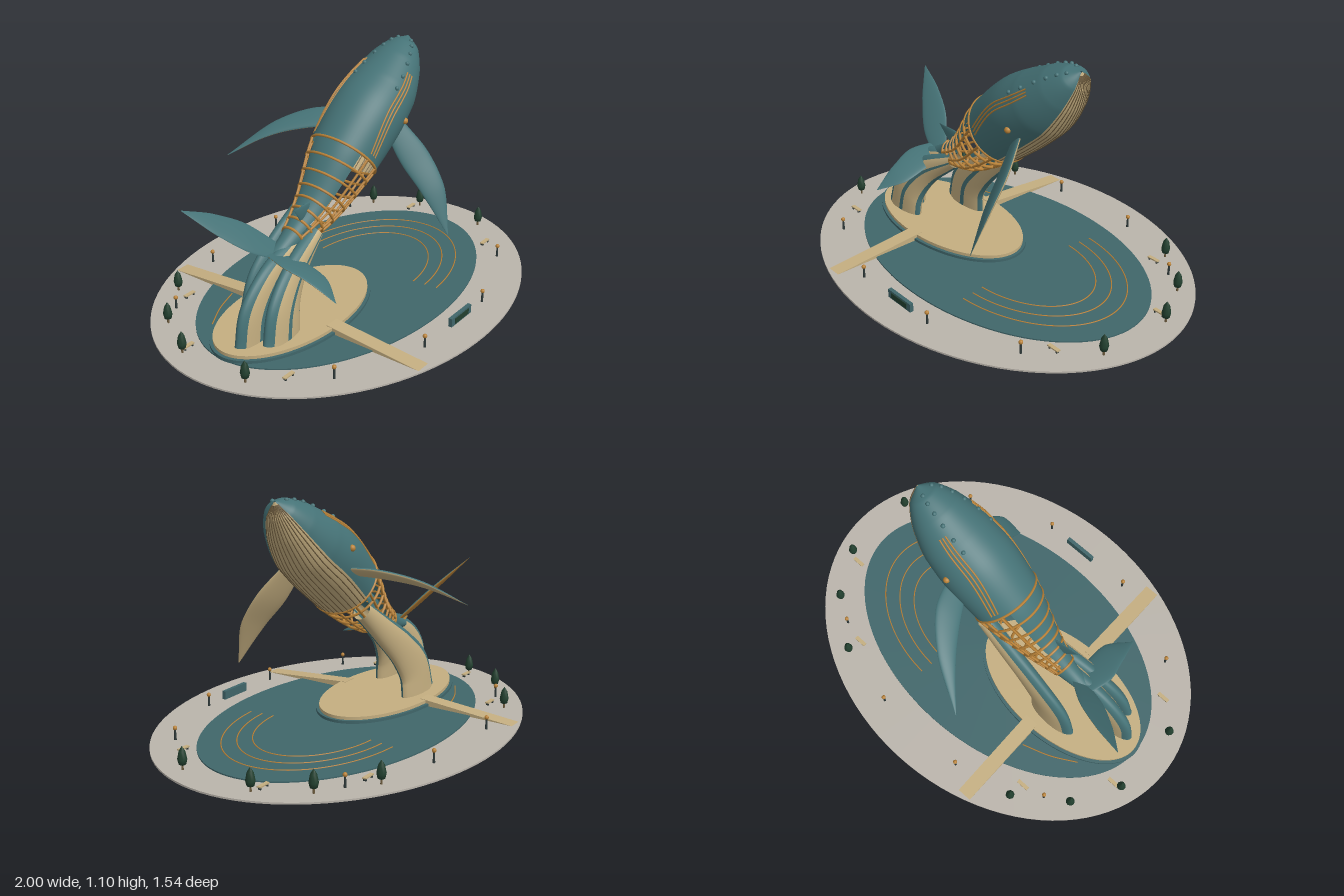
import * as THREE from 'three';

const mat = (name, color, side = THREE.FrontSide) => {
  const m = new THREE.MeshStandardMaterial({ color, side });
  m.name = name;
  return m;
};
const V = (x, y, z = 0) => new THREE.Vector3(x, y, z);
const curve = (pts) => new THREE.CatmullRomCurve3(pts.map((p) => V(...p)));
const rad = (d) => d * Math.PI / 180;

export function createModel() {
  const root = new THREE.Group();
  const teal = mat('teal skin', 0x457276, THREE.DoubleSide);
  const water = mat('water', 0x40666a);
  const tan = mat('sand stone', 0xc4ae80, THREE.DoubleSide);
  const bronze = mat('bronze', 0xb98238, THREE.DoubleSide);
  const groove = mat('groove brown', 0x6e5c3e);
  const paving = mat('paving', 0xbab4ab);
  const foliage = mat('foliage', 0x22402f);
  const dark = mat('dark metal', 0x2f3a3a);

  const add = (name, geo, material, x = 0, y = 0, z = 0, parent = root) => {
    const m = new THREE.Mesh(geo, material);
    m.name = name;
    m.position.set(x, y, z);
    parent.add(m);
    return m;
  };
  // Surface patch swept from a point rule P(u, v)
  const patch = (P, u0, u1, v0, v1, nu = 40, nv = 32) => {
    const pos = [], idx = [];
    for (let i = 0; i <= nu; i++) for (let j = 0; j <= nv; j++) {
      pos.push(...P(u0 + (u1 - u0) * i / nu, v0 + (v1 - v0) * j / nv).toArray());
      if (i < nu && j < nv) {
        const a = i * (nv + 1) + j, b = a + nv + 1;
        idx.push(a, a + 1, b, b, a + 1, b + 1);
      }
    }
    const g = new THREE.BufferGeometry();
    g.setAttribute('position', new THREE.Float32BufferAttribute(pos, 3));
    g.setIndex(idx);
    g.computeVertexNormals();
    return g;
  };
  const tube = (pts, r, closed = false, seg = 40) =>
    new THREE.TubeGeometry(new THREE.CatmullRomCurve3(pts, closed), seg, r, 6, closed);
  const line = (f, n) => Array.from({ length: n + 1 }, (_, i) => f(i / n));

  // Oval plaza, pool and stepped island
  const oval = (name, rx, rz, y0, y1, m, x = 0) => {
    add(name, new THREE.CylinderGeometry(1, 1, y1 - y0, 96), m, x, (y0 + y1) / 2, 0).scale.set(rx, 1, rz);
  };
  oval('plaza', 1, 0.77, 0, 0.008, paving);
  oval('pool', 0.83, 0.525, 0.006, 0.014, water);
  oval('islandStep', 0.465, 0.26, 0.01, 0.027, water, -0.37);
  oval('island', 0.45, 0.245, 0.025, 0.042, tan, -0.37);

  // Ripples on the pool
  for (let k = 0; k < 3; k++) {
    const arc = line((t) => {
      const a = rad(-85 + 170 * t);
      return V(0.15 + (0.4 + 0.08 * k) * Math.cos(a), 0.0145, (0.27 + 0.06 * k) * Math.sin(a));
    }, 24);
    add('ripple', tube(arc, 0.003, false, 60), bronze);
  }
  add('ripple', tube([V(-0.66, 0.0145, -0.22), V(-0.54, 0.0145, -0.285), V(-0.41, 0.0145, -0.33)], 0.003), bronze);

  // Sloping bridges on both sides
  const rampShape = new THREE.Shape([[0, 0], [0.48, 0], [0.48, 0.008], [0, 0.045]].map((p) => new THREE.Vector2(...p)));
  const ramp = new THREE.ExtrudeGeometry(rampShape, { depth: 0.07, bevelEnabled: false }).rotateY(-Math.PI / 2);
  for (const s of [1, -1]) add('bridge', ramp, tan, -0.33, 0, s * 0.215).scale.z = s;

  // Body: cross-sections from tail to snout, rolled about its axis
  const spine = curve([[-0.5, 0.345], [-0.38, 0.385], [-0.2, 0.475], [0, 0.655], [0.16, 0.79],
    [0.29, 0.885], [0.4, 0.985], [0.465, 1.05], [0.495, 1.085]]);
  const girth = curve([[0.022, 0.03], [0.05, 0.048], [0.105, 0.1], [0.163, 0.16], [0.172, 0.176],
    [0.155, 0.165], [0.11, 0.122], [0.06, 0.07], [0.004, 0.004]]);
  const ROLL = 16, CUT = 0.375, TAIL = 0.14;
  const bodyAt = (u, deg, lift = 0) => {
    const c = spine.getPoint(u), t = spine.getTangent(u), g = girth.getPoint(u), a = rad(deg - ROLL);
    const k = -Math.cos(a) * (g.x + lift);
    return V(c.x - t.y * k, c.y + t.x * k, Math.sin(a) * (g.y + lift));
  };
  const body = new THREE.Group();
  body.name = 'whaleBody';
  root.add(body);
  const on = (name, geo, m) => add(name, geo, m, 0, 0, 0, body);
  const B = 52;
  on('upperShell', patch(bodyAt, CUT, 1, B, 360 - B, 50, 48), teal);
  on('belly', patch(bodyAt, CUT, 1, -B, B, 50, 32), tan);
  on('tailStock', patch(bodyAt, 0, TAIL, 0, 360, 12, 32), teal);
  on('backShell', patch(bodyAt, TAIL, CUT, 135, 225, 24, 20), teal);
  for (let d = -48; d <= 48; d += 8)
    on('bellyGroove', tube(line((t) => bodyAt(CUT + (0.975 - CUT) * t, d), 20), 0.0025), groove);

  // Open lattice of hoops and stringers
  for (let i = 0; i <= 7; i++) {
    const u = TAIL + (CUT - TAIL) * i / 7;
    on('hoop', tube(line((t) => bodyAt(u, 360 * t), 32).slice(0, -1), 0.0065, true, 64), bronze);
  }
  for (let d = -120; d <= 120; d += 30)
    on('stringer', tube(line((t) => bodyAt(TAIL + (CUT - TAIL) * t, d), 10), 0.006), bronze);

  // Side stripes, head bumps and eyes
  for (const s of [1, -1]) {
    for (const off of [-6, 0, 6])
      on('sideStripe', tube(line((t) => bodyAt(0.39 + 0.3 * t, s * (114 + off + 14 * Math.sin(Math.min(1, t * 2) * Math.PI / 2))), 14), 0.004), bronze);
    for (let i = 0; i < 6; i++) {
      const p = bodyAt(0.6 + 0.062 * i, s * 141);
      add('headBump', new THREE.SphereGeometry(0.01, 12, 8), teal, p.x, p.y, p.z, body);
    }
    const e = bodyAt(0.545, s * 88);
    add('eye', new THREE.SphereGeometry(0.015, 16, 12), bronze, e.x, e.y, e.z, body);
  }

  // Tapered blades for flippers, flukes and the back fin
  const blade = (name, pts, widths, chord, hint, thick, under) => {
    const path = curve(pts), width = curve(widths.map((w) => [w, 0, 0]));
    const c = V(...chord).normalize(), h = V(...hint);
    const P = (u, v) => {
      const n = path.getTangent(u).cross(c).normalize();
      if (n.dot(h) < 0) n.negate();
      const w = Math.max(width.getPoint(u).x, 0.001) / 2;
      return path.getPoint(u).addScaledVector(c, Math.cos(v) * w).addScaledVector(n, Math.sin(v) * w * thick);
    };
    const g = new THREE.Group();
    g.name = name;
    root.add(g);
    add('upperFace', patch(P, 0, 1, 0, Math.PI, 28, 14), teal, 0, 0, 0, g);
    add('underFace', patch(P, 0, 1, Math.PI, 2 * Math.PI, 28, 14), under, 0, 0, 0, g);
  };
  blade('leftFlipper', [[0.24, 0.74, 0.11], [0.265, 0.6, 0.21], [0.275, 0.46, 0.31], [0.265, 0.27, 0.4]],
    [0.1, 0.14, 0.11, 0.004], [0.82, 0.3, 0.48], [-0.5, 0.5, 0.7], 0.22, tan);
  blade('rightFlipper', [[0.17, 0.75, -0.12], [0.1, 0.74, -0.26], [-0.02, 0.69, -0.4], [-0.19, 0.58, -0.53]],
    [0.1, 0.13, 0.1, 0.004], [0.85, 0.45, -0.2], [-0.4, 0.9, 0], 0.22, tan);
  blade('rightFluke', [[-0.45, 0.36, 0], [-0.58, 0.46, -0.07], [-0.7, 0.55, -0.135], [-0.82, 0.64, -0.2]],
    [0.08, 0.14, 0.1, 0.003], [0.45, 0.6, -0.6], [0.1, 0.6, 0.7], 0.14, bronze);
  blade('leftFluke', [[-0.48, 0.365, -0.02], [-0.485, 0.345, 0.11], [-0.475, 0.305, 0.23], [-0.5, 0.25, 0.345]],
    [0.1, 0.15, 0.12, 0.003], [0.95, -0.25, 0], [0, 1, 0.3], 0.14, bronze);
  blade('backFin', [[-0.27, 0.48, 0.02], [-0.32, 0.51, 0.03], [-0.395, 0.545, 0.04]],
    [0.13, 0.085, 0.003], [0.7, 0.7, 0], [0, 0, 1], 0.16, teal);

  // Curved support legs, banded lengthwise
  const leg = (pts, widths) => {
    const path = curve(pts), width = curve(widths.map((w) => [w, 0, 0]));
    const P = (u, deg) => {
      const t = path.getTangent(u), n = V(-t.y, t.x).normalize(), a = rad(deg);
      const p = path.getPoint(u).addScaledVector(n, Math.cos(a) * width.getPoint(u).x);
      p.z += Math.sin(a) * 0.04;
      return p;
    };
    const g = new THREE.Group();
    g.name = 'supportLeg';
    root.add(g);
    [[-45, 45, teal], [45, 88, tan], [88, 100, teal], [100, 150, tan], [150, 180, teal], [180, 315, tan]]
      .forEach(([a, b, m]) => add('legBand', patch(P, 0, 1, a, b, 28, 10), m, 0, 0, 0, g));
  };
  leg([[-0.67, 0.03, 0.03], [-0.645, 0.16, 0.03], [-0.55, 0.28, 0.025], [-0.38, 0.375, 0.01]], [0.11, 0.105, 0.075, 0.03]);
  leg([[-0.59, 0.03, 0.12], [-0.56, 0.16, 0.11], [-0.46, 0.28, 0.085], [-0.27, 0.4, 0.05]], [0.115, 0.105, 0.075, 0.035]);
  leg([[-0.43, 0.03, -0.14], [-0.4, 0.16, -0.135], [-0.3, 0.28, -0.13], [-0.13, 0.42, -0.12], [0.02, 0.54, -0.11]],
    [0.13, 0.115, 0.09, 0.065, 0.045]);

  // Trees around the plaza
  [[-0.53, -0.555], [0.54, -0.55], [0.765, -0.38], [0.89, -0.165], [0.88, 0.2], [-0.89, -0.175], [-0.76, -0.39], [-0.89, 0.18]]
    .forEach(([x, z]) => {
      add('treeTrunk', new THREE.CylinderGeometry(0.004, 0.005, 0.035, 8), groove, x, 0.022, z);
      const crown = new THREE.LatheGeometry([[0, 0.025], [0.016, 0.033], [0.021, 0.055], [0.014, 0.09], [0, 0.113]]
        .map((p) => new THREE.Vector2(...p)), 10);
      add('treeCrown', crown, foliage, x, 0, z);
    });

  // Lamps in mirrored pairs
  for (const [lx, lz] of [[0.235, 0.615], [0.65, 0.45]])
    for (const sx of [1, -1]) for (const sz of [1, -1]) {
      add('lampPole', new THREE.CylinderGeometry(0.004, 0.006, 0.055, 8), dark, sx * lx, 0.033, sz * lz);
      add('lampHead', new THREE.SphereGeometry(0.01, 12, 8), bronze, sx * lx, 0.063, sz * lz);
    }

  // Benches and the plaque wall
  [[-0.54, -0.475], [0.53, -0.48], [0.835, -0.185], [-0.76, 0.3], [0.725, 0.335], [-0.85, -0.18]].forEach(([x, z]) => {
    add('benchSeat', new THREE.BoxGeometry(0.06, 0.006, 0.018), tan, x, 0.021, z);
    for (const s of [1, -1]) add('benchFoot', new THREE.BoxGeometry(0.006, 0.012, 0.014), dark, x + s * 0.022, 0.013, z);
  });
  add('plaqueWall', new THREE.BoxGeometry(0.16, 0.042, 0.018), water, 0.045, 0.028, 0.615);
  add('plaquePanel', new THREE.BoxGeometry(0.11, 0.026, 0.004), foliage, 0.045, 0.028, 0.625);
  return root;
}
